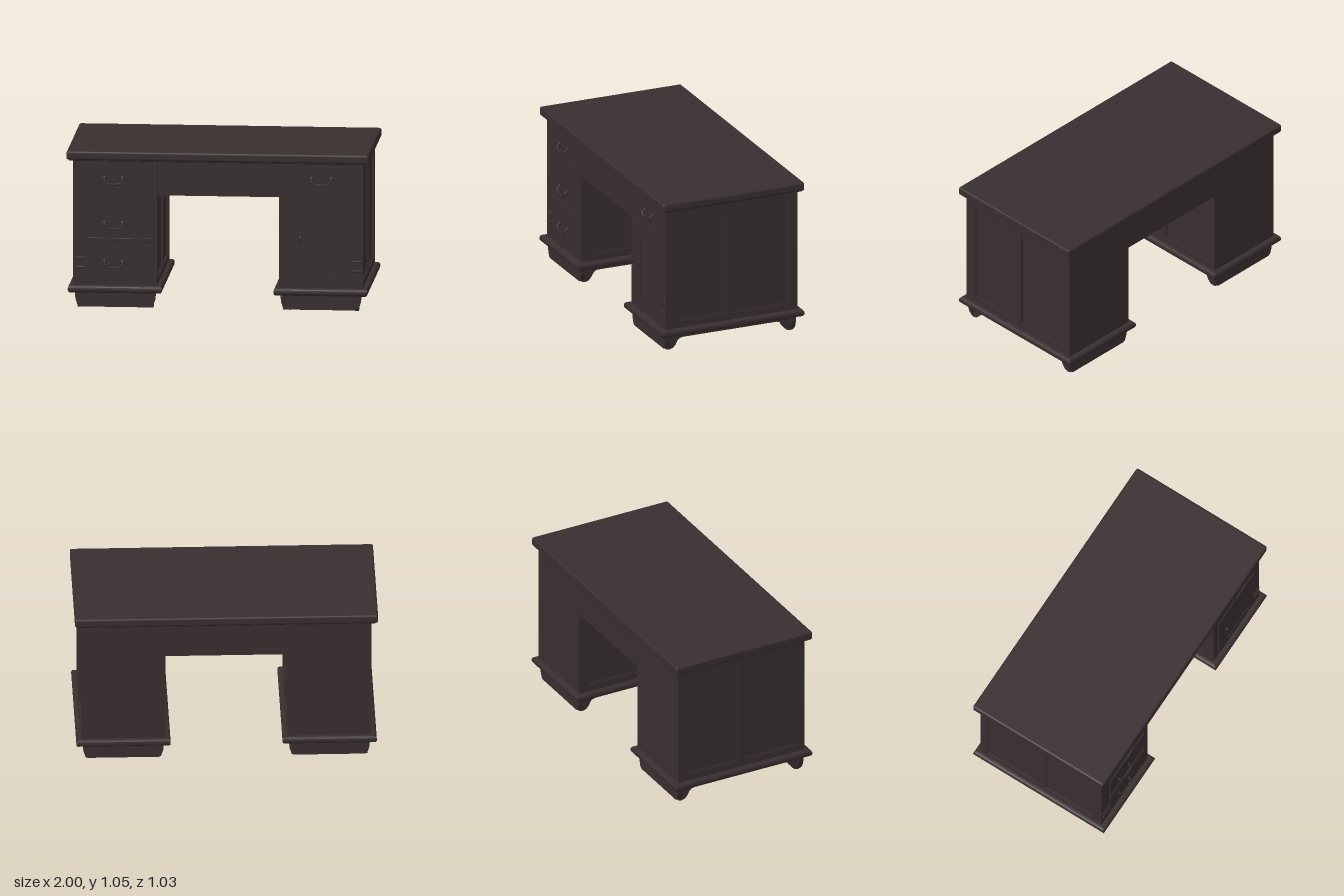
import * as THREE from 'three';
import { RoundedBoxGeometry } from 'three/addons/geometries/RoundedBoxGeometry.js';

const wood = new THREE.MeshStandardMaterial({ color: 0x382e2f });
wood.name = 'dark wood';

function add(parent, name, geometry, x = 0, y = 0, z = 0) {
  const m = new THREE.Mesh(geometry, wood);
  m.name = name;
  m.position.set(x, y, z);
  parent.add(m);
  return m;
}

// Box given by its limits on each axis
function block(parent, name, [x0, x1], [y0, y1], [z0, z1], r = 0) {
  const s = [x1 - x0, y1 - y0, z1 - z0];
  const g = r ? new RoundedBoxGeometry(...s, 3, r) : new THREE.BoxGeometry(...s);
  return add(parent, name, g, (x0 + x1) / 2, (y0 + y1) / 2, (z0 + z1) / 2);
}

function polygon(points) {
  return new THREE.Shape(points.map(([x, y]) => new THREE.Vector2(x, y)));
}
const rect = (x0, x1, y0, y1) => polygon([[x0, y0], [x1, y0], [x1, y1], [x0, y1]]);

// Plate with rectangular openings
function frameGeometry(outer, holes, depth, bevel = 0) {
  const shape = rect(...outer);
  holes.forEach(h => shape.holes.push(rect(...h)));
  return new THREE.ExtrudeGeometry(shape, {
    depth, bevelEnabled: bevel > 0, bevelSize: bevel, bevelThickness: bevel, bevelSegments: 4,
  });
}

// Thin raised border around a drawer or door
function border(parent, name, x0, x1, y0, y1, z, w = 0.01) {
  add(parent, name, frameGeometry([x0, x1, y0, y1], [[x0 + w, x1 - w, y0 + w, y1 - w]], 0.005), 0, 0, z);
}

// Bail handle hanging between two rosettes
function handle(parent, x, y, z, half = 0.06) {
  const g = new THREE.Group();
  g.name = 'drawerHandle';
  g.position.set(x, y, z);
  parent.add(g);
  const path = new THREE.CatmullRomCurve3([
    [-half, 0.012, 0], [-half, 0, 0.016], [-half * 0.75, -0.02, 0.018],
    [half * 0.75, -0.02, 0.018], [half, 0, 0.016], [half, 0.012, 0],
  ].map(p => new THREE.Vector3(...p)));
  add(g, 'bail', new THREE.TubeGeometry(path, 24, 0.006, 8));
  for (const s of [-1, 1]) {
    const rosette = new THREE.SphereGeometry(0.015, 12, 8);
    rosette.scale(1, 1, 0.6);
    add(g, 'rosette', rosette, s * half, 0.012, 0);
  }
}

// Hollow pedestal, open below, centred on its own x
function pedestal(x) {
  const g = new THREE.Group();
  g.name = 'pedestal';
  g.position.x = x;

  // Panelled side walls
  const panels = [[-0.4, -0.035, 0.2, 0.94], [0.025, 0.42, 0.2, 0.94]];
  for (const s of [-1, 1]) {
    const flip = s > 0 ? panels : panels.map(([a, b, c, d]) => [-b, -a, c, d]);
    const frame = add(g, 'sideFrame', frameGeometry([-0.474, 0.474, 0.12, 1.0], flip, 0.013), s * 0.265);
    frame.rotation.y = s * Math.PI / 2;
    block(g, 'sidePanel', s > 0 ? [0.245, 0.266] : [-0.266, -0.245], [0.12, 1.0], [-0.47, 0.47]);
    // Bead inside each recess
    for (const [a, b, c, d] of flip) {
      const bead = add(g, 'panelBead',
        frameGeometry([a, b, c, d], [[a + 0.009, b - 0.009, c + 0.009, d - 0.009]], 0.006), s * 0.265);
      bead.rotation.y = s * Math.PI / 2;
    }
  }
  block(g, 'frontWall', [-0.278, 0.278], [0.12, 1.0], [0.45, 0.474]);
  block(g, 'backWall', [-0.278, 0.278], [0.12, 1.0], [-0.478, -0.45]);

  // Rounded base moulding
  const ring = add(g, 'baseMoulding',
    frameGeometry([-0.29, 0.29, -0.492, 0.492], [[-0.255, 0.255, -0.455, 0.455]], 0.008, 0.021), 0, 0.126, 0);
  ring.rotation.x = -Math.PI / 2;

  // Side rails with bracket feet at both ends
  const foot = [[0.475, 0.11], [0.47, 0.02], [0.46, 0.006], [0.435, 0], [0.41, 0.008], [0.39, 0.03],
    [0.378, 0.055], [0.362, 0.07], [0.34, 0.075]];
  const outline = polygon([...foot, ...foot.map(([z, y]) => [-z, y]).reverse()]);
  for (const s of [-1, 1]) {
    const rail = add(g, 'bracketFeet',
      new THREE.ExtrudeGeometry(outline, { depth: 0.045, bevelEnabled: false }), s > 0 ? 0.205 : -0.25);
    rail.rotation.y = Math.PI / 2;
  }
  // Full-width aprons at front and back
  const apron = polygon([[-0.267, 0.11], [-0.264, 0.06], [-0.25, 0.018], [-0.235, 0.008],
    [0.235, 0.008], [0.25, 0.018], [0.264, 0.06], [0.267, 0.11]]);
  for (const z of [0.44, -0.472]) {
    add(g, 'apron', new THREE.ExtrudeGeometry(apron, { depth: 0.032, bevelEnabled: false }), 0, 0, z);
  }
  return g;
}

export function createModel() {
  const desk = new THREE.Group();
  desk.name = 'pedestalDesk';

  // Table top with a slimmer lower lip
  block(desk, 'tableTop', [-1, 1], [0.996, 1.055], [-0.512, 0.512], 0.014);
  block(desk, 'topLip', [-0.985, 0.985], [0.988, 1.01], [-0.5, 0.5], 0.008);

  desk.add(pedestal(0.68), pedestal(-0.68));

  // Bridge over the kneehole, with the centre drawer
  block(desk, 'kneeholeBridge', [-0.405, 0.405], [0.76, 1.0], [-0.478, 0.468]);
  block(desk, 'centreDrawer', [-0.39, 0.39], [0.8, 0.965], [0.46, 0.471]);
  border(desk, 'centreDrawerBorder', -0.4, 0.4, 0.79, 0.972, 0.468);

  const face = 0.472;
  // Drawers on the right-hand pedestal
  for (const [y0, y1, hy] of [[0.78, 0.965, 0.86], [0.485, 0.74, 0.56], [0.175, 0.43, 0.3]]) {
    block(desk, 'drawerFront', [-0.86, -0.45], [y0, y1], [face, face + 0.005]);
    border(desk, 'drawerBorder', -0.86, -0.45, y0, y1, face + 0.002);
    handle(desk, -0.69, hy, face + 0.005);
  }
  block(desk, 'drawerRail', [-0.87, -0.44], [0.445, 0.472], [face, face + 0.007], 0.003);

  // Drawer and door on the left-hand pedestal
  block(desk, 'drawerFront', [0.46, 0.88], [0.78, 0.965], [face, face + 0.005]);
  border(desk, 'drawerBorder', 0.46, 0.88, 0.78, 0.965, face + 0.002);
  handle(desk, 0.685, 0.875, face + 0.005, 0.065);
  add(desk, 'door', frameGeometry([0.46, 0.89, 0.175, 0.74], [[0.56, 0.83, 0.25, 0.67]], 0.006), 0, 0, face);
  border(desk, 'doorPanelBead', 0.56, 0.83, 0.25, 0.67, face - 0.002);

  // Keyhole plate and key
  const plate = new THREE.SphereGeometry(0.02, 12, 8);
  plate.scale(0.6, 1.2, 0.3);
  add(desk, 'keyholePlate', plate, 0.545, 0.48, face + 0.006);
  block(desk, 'key', [0.538, 0.552], [0.468, 0.492], [face, 0.497], 0.005);

  // Small hinges low on the outer front edges
  for (const x of [-0.91, 0.92]) {
    for (const y of [0.27, 0.335]) {
      block(desk, 'hinge', [x - 0.035, x + 0.035], [y - 0.008, y + 0.008], [face - 0.005, face + 0.01], 0.005);
    }
  }
  return desk;
}
